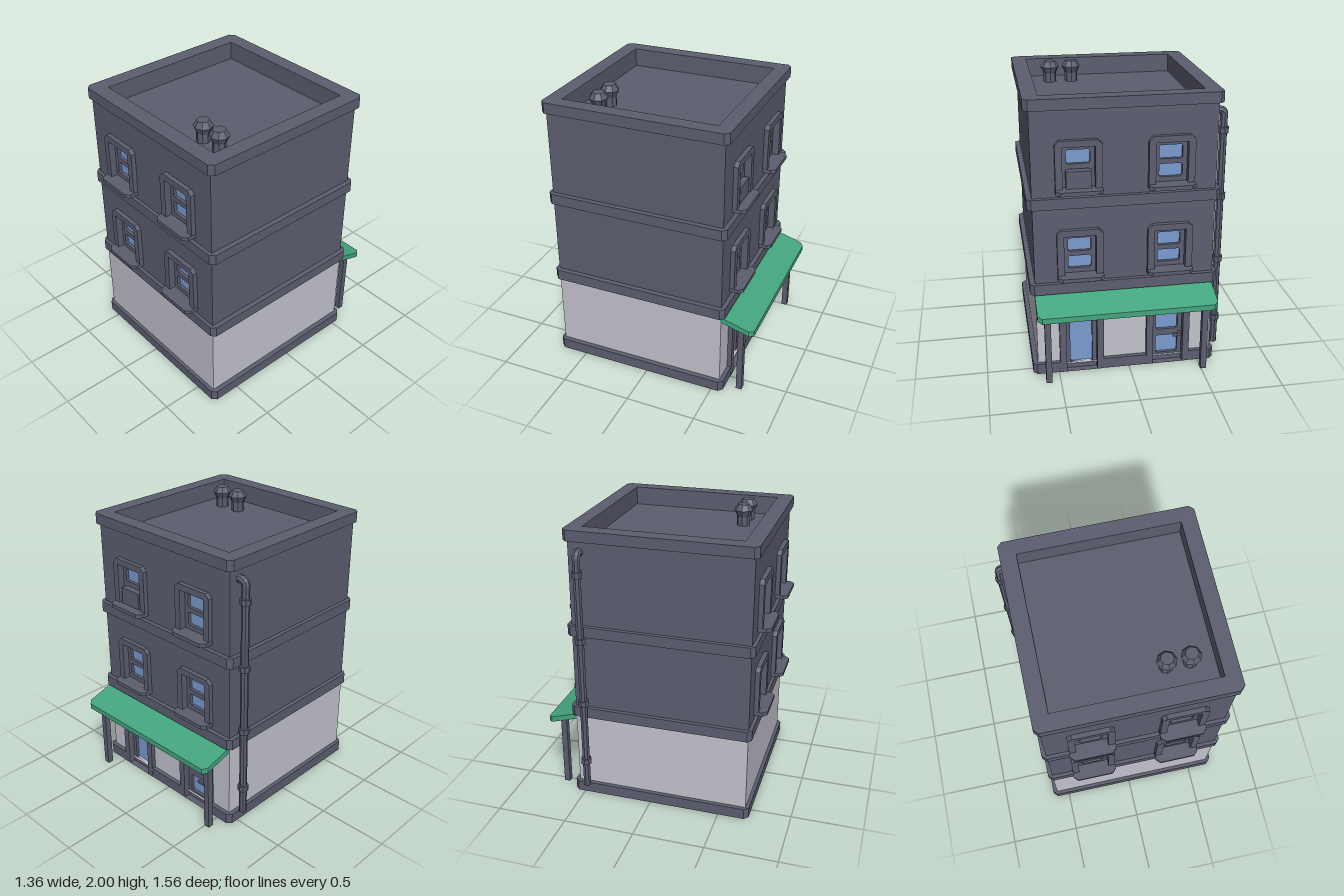
import * as THREE from 'three';

const mat = (name, color) => {
  const m = new THREE.MeshStandardMaterial({ color });
  m.name = name;
  return m;
};

export function createModel() {
  const dark = mat('slate', 0x5c5e70);
  const pale = mat('pale wall', 0xc4c3ce);
  const blue = mat('glass blue', 0x7a9bd0);
  const green = mat('awning green', 0x45a67f);
  const model = new THREE.Group();
  model.name = 'building';

  const add = (parent, name, geo, material) => {
    const m = new THREE.Mesh(geo, material);
    m.name = name;
    parent.add(m);
    return m;
  };
  const flat = (geo) => {
    const g = geo.toNonIndexed();
    g.computeVertexNormals();
    return g;
  };
  const box = (parent, name, x0, x1, y0, y1, z0, z1, material) =>
    add(parent, name, new THREE.BoxGeometry(x1 - x0, y1 - y0, z1 - z0)
      .translate((x0 + x1) / 2, (y0 + y1) / 2, (z0 + z1) / 2), material);
  const rod = (parent, name, x, z, y0, y1, r0, r1) =>
    add(parent, name, flat(new THREE.CylinderGeometry(r1, r0, y1 - y0, 8))
      .translate(x, (y0 + y1) / 2, z), dark);

  // Rectangle outline with chamfered corners: c0 on the low-y side, c1 on the high-y side
  const rect = (x0, x1, y0, y1, c0 = 0, c1 = c0) => {
    const p = [];
    const corner = (x, y, ax, ay, bx, by, c) => c
      ? p.push([x + ax * c, y + ay * c], [x + bx * c, y + by * c]) : p.push([x, y]);
    corner(x0, y0, 0, 1, 1, 0, c0);
    corner(x1, y0, -1, 0, 0, 1, c0);
    corner(x1, y1, 0, -1, -1, 0, c1);
    corner(x0, y1, 1, 0, 0, -1, c1);
    return p.map(([x, y]) => new THREE.Vector2(x, y));
  };
  const slab = (outline, holes, depth) => {
    const s = new THREE.Shape(outline);
    s.holes = holes.map((h) => new THREE.Path(h));
    return new THREE.ExtrudeGeometry(s, { depth, bevelEnabled: false });
  };
  // Floor-plan outline (x, z) extruded between two heights
  const plan = (outline, holes, y0, y1) =>
    slab(outline, holes, y1 - y0).rotateX(Math.PI / 2).translate(0, y1, 0);

  const L = -0.59, R = 0.645, B = -0.55, F = 0.69, T = 0.06;
  const bays = [-0.28, 0.335];
  const sills = [0.73, 1.35];

  // Wall cores
  box(model, 'groundFloor', L, R, 0.04, 0.66, B + T, F, pale);
  box(model, 'upperFloors', L, R, 0.66, 1.85, B + T, F - T, dark);

  // Upper front and back walls with window openings
  const windowHoles = bays.flatMap((x) =>
    sills.map((y) => rect(x - 0.13, x + 0.13, y + 0.02, y + 0.33)));
  for (const [name, z] of [['frontWall', F - T], ['backWall', B]]) {
    add(model, name, slab(rect(L, R, 0.66, 1.85), windowHoles, T).translate(0, 0, z), dark);
  }

  // Ground floor back wall, split around the doorways
  const doorHoles = bays.map((x) => rect(x - 0.13, x + 0.13, 0.045, 0.44));
  add(model, 'shopWall', slab(rect(L, R, 0.04, 0.66), doorHoles, T).translate(0, 0, B), pale);

  // Base band, notched for the doors
  const base = [];
  for (const p of rect(-0.62, 0.68, -0.58, 0.715, 0.03)) {
    base.push(p);
    if (base.length === 2) {
      for (const x of bays) {
        for (const [dx, z] of [[-0.13, -0.58], [-0.13, -0.49], [0.13, -0.49], [0.13, -0.58]]) {
          base.push(new THREE.Vector2(x + dx, z));
        }
      }
    }
  }
  add(model, 'baseBand', plan(base, [], 0, 0.077), dark);

  // Storey bands and roof parapet
  const bandOutline = rect(-0.62, 0.68, -0.58, 0.715, 0.03);
  const well = rect(-0.51, 0.575, -0.475, 0.605);
  add(model, 'lowerBand', plan(bandOutline, [], 0.622, 0.698), dark);
  add(model, 'middleBand', plan(bandOutline, [], 1.24, 1.315), dark);
  add(model, 'parapetWall', plan(rect(L, R, B, F), [well], 1.85, 1.905), dark);
  add(model, 'parapetBand', plan(bandOutline, [well], 1.905, 1.98), dark);

  // Frame, sash and glass shared by windows and doors; local +z points out of the wall
  const opening = (name, x, y, back, height, foot, panes) => {
    const g = new THREE.Group();
    g.name = name;
    g.position.set(x, y, back ? B : F);
    if (back) g.rotation.y = Math.PI;
    model.add(g);
    const top = height - 0.045;
    add(g, 'frame', slab(rect(-0.155, 0.155, foot, height, 0, 0.03),
      [rect(-0.108, 0.108, foot + 0.0005, top)], 0.088).translate(0, 0, -0.056), dark);
    add(g, 'sash', slab(rect(-0.108, 0.108, foot, top),
      panes.map(([a, b]) => rect(-0.078, 0.078, a, b, 0.01)), 0.025).translate(0, 0, -0.04), dark);
    for (const [a, b] of panes) box(g, 'glass', -0.085, 0.085, a - 0.006, b + 0.006, -0.044, -0.037, blue);
    return g;
  };

  // Windows with projecting sills, front and back
  for (const back of [false, true]) {
    for (const x of bays) {
      for (const y of sills) {
        const w = opening('window', x, y, back, 0.355, 0.025, [[0.06, 0.15], [0.185, 0.28]]);
        add(w, 'sill', plan(rect(-0.157, 0.157, -0.05, 0.09, 0, 0.03), [], 0, 0.027), dark);
        // Cooling unit in one rear window
        if (back && x > 0 && y > 1) box(w, 'coolingUnit', -0.085, 0.085, 0.027, 0.145, -0.04, 0.026, dark);
      }
    }
  }

  // Rear doors
  opening('glassDoor', bays[1], 0, true, 0.465, 0, [[0.045, 0.39]]);
  const door = opening('panelDoor', bays[0], 0, true, 0.465, 0, [[0.06, 0.2], [0.25, 0.39]]);
  box(door, 'handleStem', 0.08, 0.095, 0.215, 0.23, -0.016, 0.03, dark);
  box(door, 'handle', 0.035, 0.097, 0.212, 0.233, 0.02, 0.038, dark);

  // Sloping awning and its posts
  const awning = plan(rect(-0.585, 0.65, -0.78, -0.545, 0.03, 0), [], 0.582, 0.622);
  const p = awning.attributes.position;
  for (let i = 0; i < p.count; i++) p.setY(i, p.getY(i) + 0.3 * (p.getZ(i) + 0.545));
  awning.computeVertexNormals();
  add(model, 'awning', awning, green);
  for (const x of [-0.515, 0.58]) box(model, 'awningPost', x - 0.021, x + 0.021, 0, 0.55, -0.701, -0.659, dark);

  // Drainpipe with collars and a top elbow into the wall
  const px = -0.645, pz = -0.47;
  rod(model, 'drainpipe', px, pz, 0.08, 1.8, 0.027, 0.027);
  for (const y of [0.285, 0.752, 1.225, 1.695]) rod(model, 'pipeCollar', px, pz, y - 0.02, y + 0.02, 0.038, 0.038);
  const elbow = new THREE.CurvePath();
  const pts = [[px, 1.79], [px, 1.815], [px + 0.018, 1.832], [L + 0.02, 1.832]]
    .map(([x, y]) => new THREE.Vector3(x, y, pz));
  for (let i = 0; i < 3; i++) elbow.add(new THREE.LineCurve3(pts[i], pts[i + 1]));
  add(model, 'pipeElbow', flat(new THREE.TubeGeometry(elbow, 12, 0.028, 8)), dark);

  // Chimney pots on the roof
  for (const x of [0.26, 0.415]) {
    const pot = new THREE.Group();
    pot.name = 'chimneyPot';
    model.add(pot);
    rod(pot, 'stem', x, 0.425, 1.84, 1.915, 0.046, 0.046);
    rod(pot, 'flare', x, 0.425, 1.915, 1.96, 0.046, 0.067);
    rod(pot, 'cap', x, 0.425, 1.96, 2.0, 0.067, 0.043);
  }
  return model;
}
